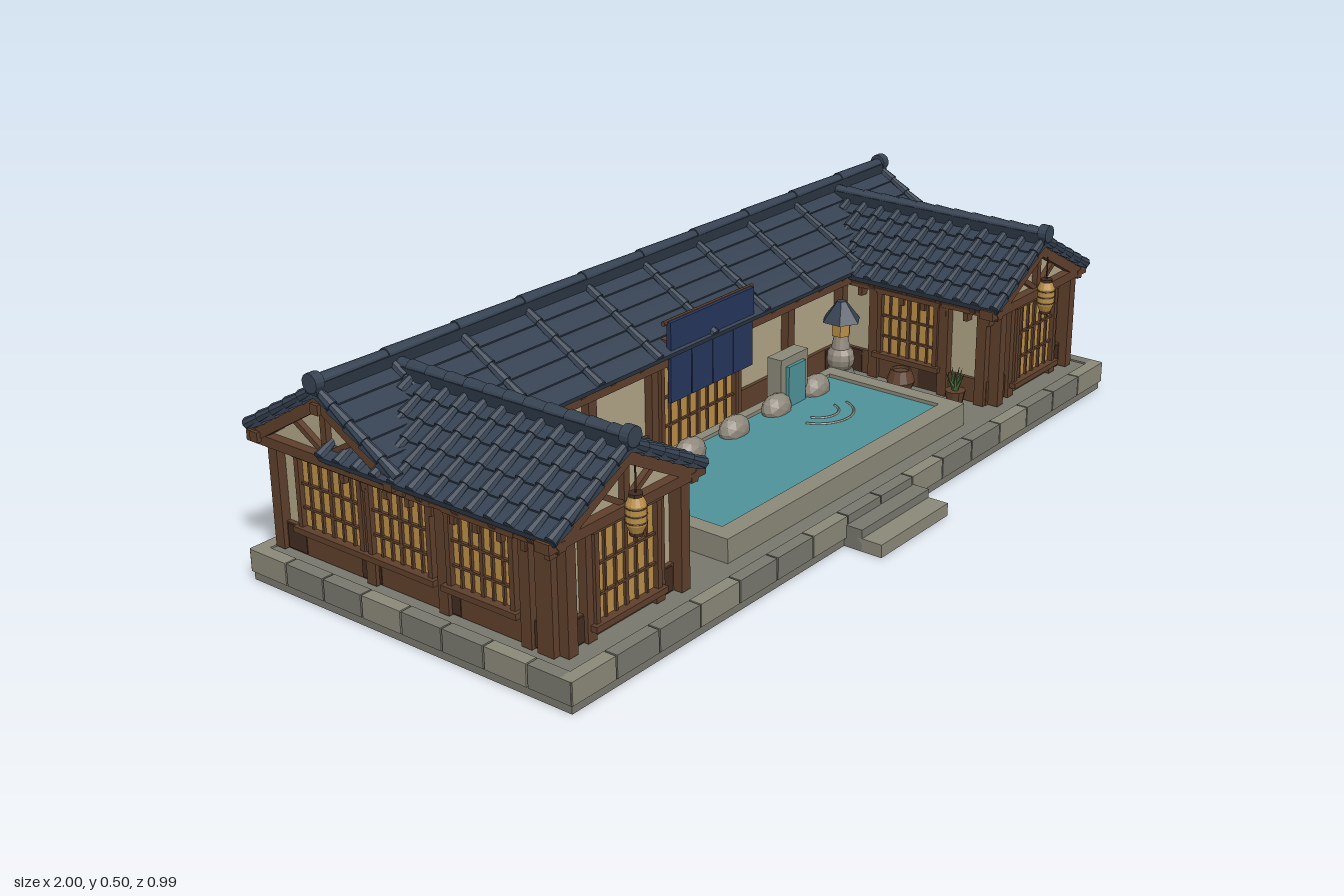
import * as THREE from 'three';

const mats = {};
const mat = (c) => (mats[c] ??= new THREE.MeshStandardMaterial({ color: c, flatShading: true }));
const C = {
  tile: 0x364252, tileDark: 0x2b3543, wood: 0x5e3f2b, dark: 0x422c20, plaster: 0xb0a486, amber: 0xba8f47,
  stone: 0x77776e, rim: 0x8b8878, rock: 0x8f887c, water: 0x4f9298, cloth: 0x26355c, leaf: 0x4b6b3a,
};

function add(parent, name, geo, color, x = 0, y = 0, z = 0) {
  const m = new THREE.Mesh(geo, mat(color));
  m.name = name;
  m.position.set(x, y, z);
  parent.add(m);
  return m;
}
const box = (p, name, color, w, h, d, x, y, z) => add(p, name, new THREE.BoxGeometry(w, h, d), color, x, y, z);
const cyl = (p, name, color, r1, r2, h, x, y, z, n = 12) =>
  add(p, name, new THREE.CylinderGeometry(r1, r2, h, n), color, x, y, z);
function group(parent, name, x = 0, y = 0, z = 0, ry = 0) {
  const g = new THREE.Group();
  g.name = name;
  g.position.set(x, y, z);
  g.rotation.y = ry;
  parent.add(g);
  return g;
}

// Tiled gable roof: ridge along local z at the origin, slopes fall to +x and -x
function roof(parent, name, length, half, rise, rows, rolls) {
  const g = group(parent, name);
  const L = Math.hypot(half, rise), step = L / rows;
  for (const side of [0, Math.PI]) {
    const slope = group(group(g, 'roofSide', 0, 0, 0, side), 'slope');
    slope.rotation.z = -Math.atan2(rise, half);
    for (let i = 0; i < rows; i++) {
      const x = (i + 0.5) * step;
      box(slope, 'tileRow', C.tile, step * 1.12, 0.014, length - 0.01, x, -0.008, 0).rotation.z = 0.1;
      for (let j = 0; j <= rolls; j++) {
        const z = (j / rolls - 0.5) * (length - 0.024);
        cyl(slope, 'rollTile', C.tile, 0.009, 0.013, step * 1.06, x, 0, z, 8).rotation.z = Math.PI / 2;
      }
    }
    for (const e of [-1, 1])
      box(slope, 'bargeBoard', C.wood, L, 0.024, 0.018, L / 2, -0.028, e * (length / 2 - 0.02));
    box(slope, 'eaveBoard', C.wood, 0.014, 0.014, length - 0.02, L - 0.01, -0.022, 0);
    const n = Math.round(length / 0.1);
    for (let j = 0; j < n; j++)
      box(slope, 'rafter', C.wood, L, 0.016, 0.014, L / 2, -0.024, ((j + 0.5) / n - 0.5) * (length - 0.06));
  }
  // Ridge with segmented cap and round end tiles
  box(g, 'ridgeBase', C.tileDark, 0.034, 0.024, length, 0, 0.002, 0);
  const n = Math.round(length / (length / rolls));
  for (let j = 0; j < n; j++)
    cyl(g, 'ridgeTile', C.tile, 0.014, 0.017, (length / n) * 1.03, 0, 0.011, ((j + 0.5) / n - 0.5) * length).rotation.x = Math.PI / 2;
  for (const e of [-1, 1])
    cyl(g, 'ridgeEnd', C.tile, 0.021, 0.021, 0.022, 0, 0.014, e * (length / 2 - 0.008), 14).rotation.x = Math.PI / 2;
  return g;
}

// Plaster gable with exposed truss, facing local +z, base at y = 0
function gable(parent, half, rise) {
  const g = group(parent, 'gable');
  const s = new THREE.Shape([new THREE.Vector2(-half, 0), new THREE.Vector2(half, 0), new THREE.Vector2(0, rise)]);
  add(g, 'gablePlaster', new THREE.ExtrudeGeometry(s, { depth: 0.012, bevelEnabled: false }), C.plaster);
  box(g, 'tieBeam', C.wood, half * 2 + 0.05, 0.022, 0.036, 0, 0, 0.016);
  box(g, 'kingPost', C.wood, 0.016, rise, 0.024, 0, rise / 2, 0.014);
  for (const s2 of [-1, 1]) {
    box(g, 'strut', C.wood, half * 0.55, 0.012, 0.022, s2 * half * 0.22, rise * 0.3, 0.014).rotation.z = s2 * 0.55;
    const top = box(g, 'topChord', C.wood, Math.hypot(half, rise), 0.018, 0.026, s2 * half / 2, rise / 2, 0.014);
    top.rotation.z = -s2 * Math.atan2(rise, half);
  }
  return g;
}

// Latticed paper window, facing local +z, bottom at y = 0
function lattice(parent, name, w, h, x, y, z, bars = 5, sill = true) {
  const g = group(parent, name, x, y, z);
  box(g, 'paper', C.amber, w, h, 0.012, 0, h / 2, 0);
  for (const s of [-1, 1]) box(g, 'jamb', C.wood, 0.012, h, 0.026, s * w / 2, h / 2, 0.005);
  for (let i = 1; i < bars; i++)
    box(g, 'bar', C.wood, i * 2 === bars ? 0.009 : 0.005, h, 0.016, (i / bars - 0.5) * w, h / 2, 0.004);
  for (const f of [0.3, 0.62]) box(g, 'rail', C.wood, w, 0.005, 0.017, 0, h * f, 0.004);
  box(g, 'head', C.wood, w + 0.02, 0.012, 0.028, 0, h, 0.006);
  if (sill) box(g, 'sill', C.wood, w + 0.03, 0.013, 0.036, 0, 0, 0.008);
}

// Wall facing local +z: plank base, plaster, posts and windows [x, width]
function wall(parent, name, w, windows, posts, x, z, ry) {
  const g = group(parent, name, x, 0.07, z, ry);
  box(g, 'plaster', C.plaster, w, 0.25, 0.02, 0, 0.125, -0.01);
  box(g, 'plankBase', C.wood, w, 0.06, 0.014, 0, 0.03, 0.003);
  const n = Math.round(w / 0.11);
  for (let i = 0; i < n; i += 2)
    box(g, 'darkPlank', C.dark, w / n / 2, 0.054, 0.016, ((i + 0.5) / n - 0.5) * w, 0.03, 0.004);
  box(g, 'topBeam', C.wood, w, 0.02, 0.034, 0, 0.238, 0.008);
  for (const p of posts) box(g, 'post', C.wood, 0.026, 0.245, 0.03, p, 0.1225, 0.006);
  for (const [wx, ww] of windows) lattice(g, 'window', ww, 0.165, wx, 0.065, 0.008, 6);
  return g;
}

function foundation(root) {
  const g = group(root, 'foundation');
  box(g, 'core', C.stone, 1.97, 0.066, 0.85, 0, 0.033, -0.035);
  box(g, 'plinth', C.stone, 1.99, 0.02, 0.872, 0, 0.01, -0.036);
  const edge = (n, len, alongX, c) => {
    for (let i = 0; i < n; i++) {
      const t = ((i + 0.5) / n - 0.5) * len, l = len / n - 0.004;
      if (alongX) box(g, 'edgeStone', i % 3 ? C.stone : C.rim, l, 0.05, 0.03, t, 0.045, c);
      else box(g, 'edgeStone', i % 3 ? C.stone : C.rim, 0.03, 0.05, l, c, 0.045, t - 0.036);
    }
  };
  edge(16, 2, true, 0.39);
  edge(16, 2, true, -0.462);
  edge(8, 0.88, false, 0.985);
  edge(8, 0.88, false, -0.985);
  box(g, 'upperStep', C.stone, 0.26, 0.05, 0.05, 0, 0.025, 0.42);
  box(g, 'lowerStep', C.rim, 0.26, 0.03, 0.09, 0, 0.015, 0.45);
}

function pool(root) {
  const g = group(root, 'pool');
  // Rim frame around the water
  const rect = (T, x0, x1, y0, y1) => new T([[x0, y0], [x1, y0], [x1, y1], [x0, y1]].map((p) => new THREE.Vector2(...p)));
  const s = rect(THREE.Shape, -0.45, 0.45, -0.335, 0.045);
  s.holes.push(rect(THREE.Path, -0.41, 0.41, -0.29, 0.02));
  add(g, 'rim', new THREE.ExtrudeGeometry(s, { depth: 0.055, bevelEnabled: false }), C.rim, 0, 0.066, 0).rotation.x = -Math.PI / 2;
  box(g, 'water', C.water, 0.82, 0.045, 0.31, 0, 0.09, 0.135);
  for (const x of [-0.32, -0.16, 0, 0.16, 0.315])
    add(g, 'rock', new THREE.IcosahedronGeometry(0.046, 1), C.rock, x, 0.122, 0.005).scale.set(1, 0.75, 0.65);
  // Fountain slab with falling water and ripples
  box(g, 'fountain', C.rim, 0.105, 0.125, 0.04, 0.23, 0.17, -0.015);
  box(g, 'waterfall', C.water, 0.066, 0.1, 0.012, 0.23, 0.162, 0.008);
  for (const r of [0.05, 0.085]) {
    const m = add(g, 'ripple', new THREE.TorusGeometry(r, 0.003, 4, 20, Math.PI * 0.8), C.rim, 0.225, 0.113, 0.075);
    m.rotation.set(Math.PI / 2, 0, Math.PI * 0.1);
  }
}

function mainHall(root) {
  const g = group(root, 'mainHall');
  const back = [-0.775, -0.465, -0.155, 0.155, 0.465, 0.775];
  wall(g, 'backWall', 1.87, back.map((x) => [x, 0.17]), [-0.925, -0.62, -0.31, 0, 0.31, 0.62, 0.925], 0, -0.44, Math.PI);
  const front = wall(g, 'frontWall', 1.2, [], [-0.36, -0.15, 0.15, 0.36], 0, -0.12, 0);
  lattice(front, 'entranceDoor', 0.27, 0.22, 0, 0.005, 0.012, 8, false);
  box(g, 'eaveBeam', C.wood, 1.2, 0.018, 0.024, 0, 0.312, -0.075);
  for (const s of [-1, 1]) {
    gable(group(g, 'gableEnd', s * 0.935, 0.31, -0.265, s * Math.PI / 2), 0.2, 0.125);
    for (const z of [-0.455, -0.265, -0.07])
      box(g, 'purlinEnd', C.wood, 0.08, 0.022, 0.022, s * 0.94, z === -0.265 ? 0.425 : 0.318, z);
  }
  const r = group(g, 'mainRoof', 0, 0.467, -0.265, Math.PI / 2);
  roof(r, 'tiles', 1.965, 0.215, 0.128, 5, 10);
  // Hanging entrance curtain
  const c = group(g, 'curtain', 0, 0, -0.06);
  for (let i = 0; i < 4; i++) box(c, 'curtainPanel', C.cloth, 0.072, 0.19, 0.008, (i - 1.5) * 0.075, 0.313, 0);
  box(c, 'curtainTop', C.cloth, 0.3, 0.07, 0.012, 0, 0.373, 0);
  cyl(c, 'curtainRod', C.wood, 0.006, 0.006, 0.32, 0, 0.405, -0.008, 8).rotation.z = Math.PI / 2;
  box(c, 'curtainBracket', C.wood, 0.28, 0.02, 0.05, 0, 0.35, -0.03);
}

// Side wing; s = 1 for left, -1 for right
function wing(root, s) {
  const g = group(root, s > 0 ? 'leftWing' : 'rightWing');
  const cx = s * 0.762;
  const outer = [0.145, -0.07, -0.265].map((z, i) => [-s * (z + 0.06), i === 2 ? 0.18 : 0.165]);
  wall(g, 'outerWall', 0.76, outer, [-0.37, 0.37, -s * 0.355, -s * 0.315, -s * 0.1, s * 0.1], s * 0.935, -0.06, s * Math.PI / 2);
  wall(g, 'innerWall', 0.44, [[0, 0.16]], [-0.205, -0.1, 0.1, 0.205], s * 0.585, 0.1, -s * Math.PI / 2);
  const f = wall(g, 'frontWall', 0.35, [], [-0.165, -0.1, 0.1, 0.165], cx, 0.315, 0);
  lattice(f, 'door', 0.18, 0.2, 0, 0.03, 0.01, 6);
  for (const x of [-0.165, 0.165]) box(g, 'cornerPost', C.wood, 0.026, 0.25, 0.026, cx + x, 0.195, 0.333);
  for (const x of [-0.19, 0.19]) {
    box(g, 'eaveBeam', C.wood, 0.02, 0.02, 0.62, cx + x, 0.306, 0.04);
    for (let i = 0; i < 10; i++) box(g, 'bracket', C.wood, 0.034, 0.02, 0.012, cx + x * 0.96, 0.285, 0.32 - i * 0.06);
  }
  gable(group(g, 'frontGable', cx, 0.312, 0.315), 0.2, 0.106);
  const r = group(g, 'wingRoof', cx, 0.446, 0.045);
  roof(r, 'tiles', 0.63, 0.218, 0.118, 5, 12);
  // Hanging paper lantern
  const l = group(g, 'hangingLantern', cx, 0.305, 0.362);
  const prof = [[0, -0.036], [0.014, -0.036], [0.021, -0.02], [0.021, 0.02], [0.014, 0.036], [0, 0.036]];
  add(l, 'paperShade', new THREE.LatheGeometry(prof.map((p) => new THREE.Vector2(...p)), 14), C.amber);
  for (const y of [-0.039, 0.039]) cyl(l, 'cap', C.dark, 0.014, 0.014, 0.008, 0, y, 0);
  for (const y of [-0.015, 0, 0.015]) add(l, 'rib', new THREE.TorusGeometry(0.021, 0.0015, 4, 14), C.wood, 0, y, 0).rotation.x = Math.PI / 2;
  cyl(l, 'cord', C.dark, 0.002, 0.002, 0.06, 0, 0.068, 0, 5);
}

// Garden pieces beside each wing
function garden(root, s) {
  const g = group(root, s > 0 ? 'leftGarden' : 'rightGarden');
  const l = group(g, 'stoneLantern', s * 0.535, 0.068, -0.075);
  cyl(l, 'base', C.stone, 0.03, 0.038, 0.02, 0, 0.01, 0);
  add(l, 'body', new THREE.SphereGeometry(0.036, 10, 8), C.rock, 0, 0.045, 0);
  cyl(l, 'neck', C.rock, 0.016, 0.024, 0.04, 0, 0.09, 0);
  cyl(l, 'light', C.amber, 0.026, 0.024, 0.04, 0, 0.125, 0, 6);
  cyl(l, 'cap', C.tile, 0.012, 0.05, 0.05, 0, 0.168, 0, 6);
  const prof = [[0, 0], [0.025, 0], [0.035, 0.025], [0.025, 0.055], [0.021, 0.055], [0.021, 0.048], [0, 0.048]];
  add(g, 'barrel', new THREE.LatheGeometry(prof.map((p) => new THREE.Vector2(...p)), 12), C.wood, s * 0.54, 0.068, 0.1);
  const p = group(g, 'pottedPlant', s * 0.54, 0.068, 0.255);
  cyl(p, 'pot', C.wood, 0.025, 0.018, 0.038, 0, 0.019, 0, 10);
  for (let i = 0; i < 7; i++) {
    const a = (i * Math.PI * 2) / 7, leaf = group(p, 'leafStem', 0, 0.036, 0, a);
    leaf.rotation.set(0, a, i % 2 ? -0.5 : -0.25);
    add(leaf, 'leaf', new THREE.ConeGeometry(0.007, 0.06, 5), C.leaf, 0, 0.03, 0);
  }
}

export function createModel() {
  const root = new THREE.Group();
  root.name = 'bathHouse';
  foundation(root);
  pool(root);
  mainHall(root);
  for (const s of [-1, 1]) {
    wing(root, s);
    garden(root, s);
  }
  return root;
}
